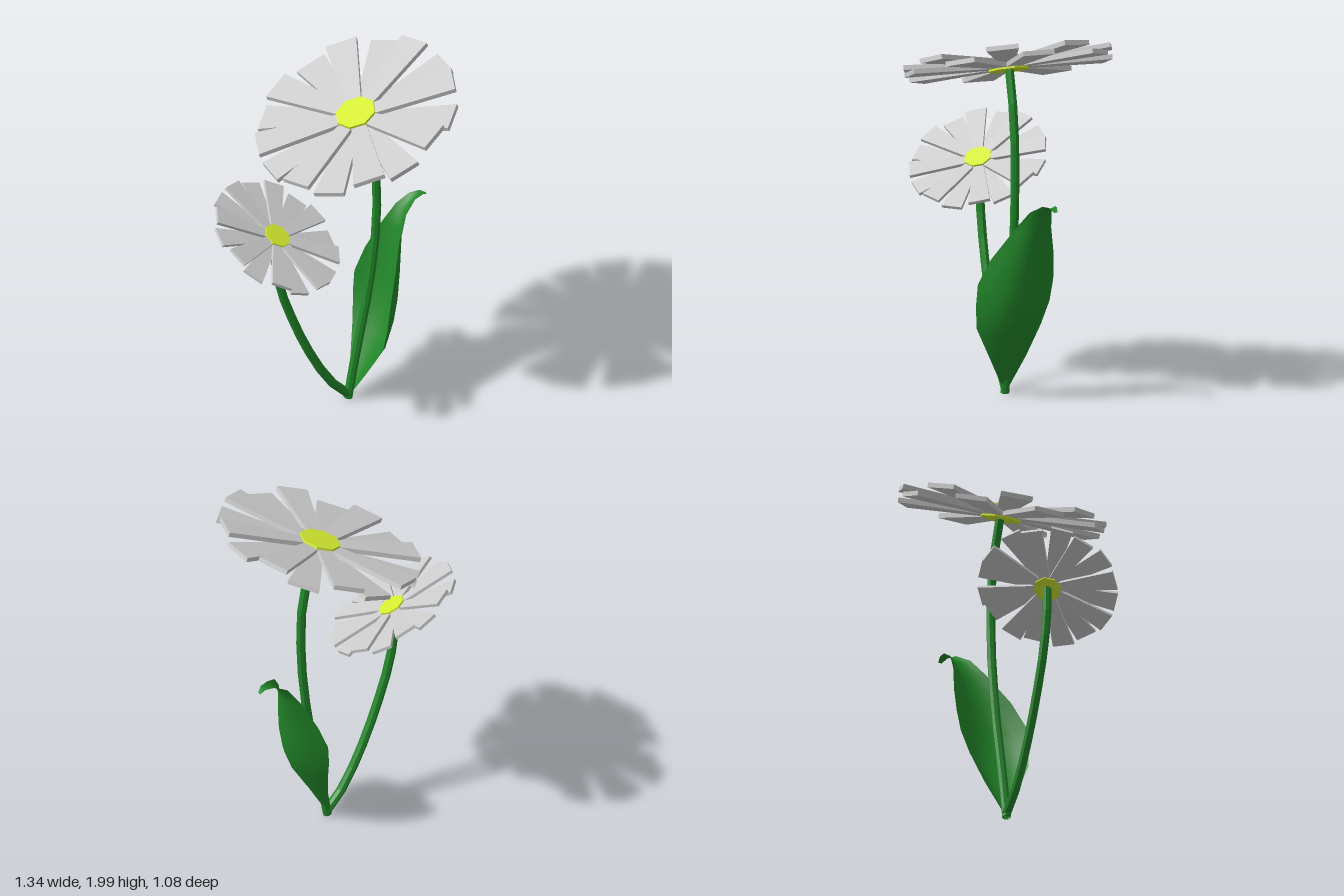
import * as THREE from 'three';

const green = new THREE.MeshStandardMaterial({ color: 0x22882a, flatShading: true, side: THREE.DoubleSide });
const leafGreen = new THREE.MeshStandardMaterial({ color: 0x22882a, side: THREE.DoubleSide });
const yellow = new THREE.MeshStandardMaterial({ color: 0xd4ec30, flatShading: true });
const grey = new THREE.MeshStandardMaterial({ color: 0xcccccc, flatShading: true });

// Flat tapered petal pointing along +x, its underside on y = 0
function petalGeometry() {
  const shape = new THREE.Shape([
    new THREE.Vector2(0.06, -0.036), new THREE.Vector2(0.54, -0.085),
    new THREE.Vector2(0.54, 0.085), new THREE.Vector2(0.06, 0.036),
  ]);
  return new THREE.ExtrudeGeometry(shape, { depth: 0.025, bevelEnabled: false }).rotateX(-Math.PI / 2);
}

// Flower head: eight flat petals, eight raised ones between them, and a disc
function flowerHead(name) {
  const head = new THREE.Group();
  head.name = name;
  const lower = petalGeometry();
  const upper = petalGeometry().rotateZ(0.05).translate(0, 0.017, 0);
  for (let i = 0; i < 8; i++) {
    const angle = i * Math.PI / 4;
    const a = new THREE.Mesh(lower, grey);
    a.name = 'lowerPetal';
    a.rotation.y = angle;
    const b = new THREE.Mesh(upper, grey);
    b.name = 'upperPetal';
    b.rotation.y = angle - THREE.MathUtils.degToRad(20);
    head.add(a, b);
  }
  const disc = new THREE.Mesh(new THREE.CylinderGeometry(0.11, 0.11, 0.07, 8), yellow);
  disc.name = 'flowerDisc';
  disc.position.y = 0.025;
  head.add(disc);
  return head;
}

// Stem: faceted tube through points in the x-y plane
function stem(name, points) {
  const curve = new THREE.CatmullRomCurve3(points.map(([x, y]) => new THREE.Vector3(x, y, 0)));
  const mesh = new THREE.Mesh(new THREE.TubeGeometry(curve, 9, 0.024, 8), green);
  mesh.name = name;
  return mesh;
}

// Leaf: cupped cross-sections swept along a curling midrib
function leaf() {
  // midrib x, y, z, half width, cup depth
  const sections = [
    [0.1, 0.04, 0, 0.015, 0], [0.19, 0.2, 0.005, 0.1, 0.04],
    [0.28, 0.35, 0.015, 0.175, 0.09], [0.335, 0.48, 0, 0.2, 0.12],
    [0.365, 0.61, -0.01, 0.205, 0.13], [0.39, 0.76, -0.03, 0.17, 0.1],
    [0.42, 0.93, -0.06, 0.1, 0.05], [0.46, 1.03, -0.08, 0.06, 0.025],
    [0.52, 1.08, -0.1, 0.035, 0.012], [0.57, 1.09, -0.105, 0.022, 0.005],
    [0.6, 1.075, -0.11, 0.01, 0],
  ];
  const across = 8, pos = [], index = [];
  sections.forEach(([x, y, z, half, depth], i) => {
    const p = sections[Math.max(i - 1, 0)], q = sections[Math.min(i + 1, sections.length - 1)];
    const dx = q[0] - p[0], dy = q[1] - p[1], len = Math.hypot(dx, dy);
    for (let j = 0; j <= across; j++) {
      const t = j / across * 2 - 1, cup = depth * t * t;
      pos.push(x - dy / len * cup, y + dx / len * cup, z + half * t);
      if (i && j) {
        const b = i * (across + 1) + j, a = b - across - 1;
        index.push(a - 1, b - 1, a, a, b - 1, b);
      }
    }
  });
  const geometry = new THREE.BufferGeometry();
  geometry.setAttribute('position', new THREE.Float32BufferAttribute(pos, 3));
  geometry.setIndex(index);
  geometry.computeVertexNormals();
  const mesh = new THREE.Mesh(geometry, leafGreen);
  mesh.name = 'leaf';
  return mesh;
}

export function createModel() {
  const model = new THREE.Group();
  model.name = 'flowers';

  model.add(
    stem('tallStem', [[0.092, 0.015], [0.14, 0.29], [0.2, 0.6], [0.24, 0.88], [0.257, 1.1], [0.257, 1.35], [0.225, 1.56], [0.16, 1.76]]),
    stem('shortStem', [[0.1, 0.03], [0.02, 0.11], [-0.06, 0.23], [-0.15, 0.41], [-0.23, 0.61], [-0.295, 0.81], [-0.33, 1.0], [-0.335, 1.16]]),
    leaf(),
  );

  const large = flowerHead('largeFlower');
  large.position.set(0.155, 1.75, 0);
  large.rotation.z = THREE.MathUtils.degToRad(20);

  const small = flowerHead('smallFlower');
  small.position.set(-0.335, 1.145, 0);
  small.scale.setScalar(0.67);
  small.quaternion.setFromUnitVectors(new THREE.Vector3(0, 1, 0), new THREE.Vector3(0.36, 0.86, 0.36).normalize());

  model.add(large, small);
  return model;
}
